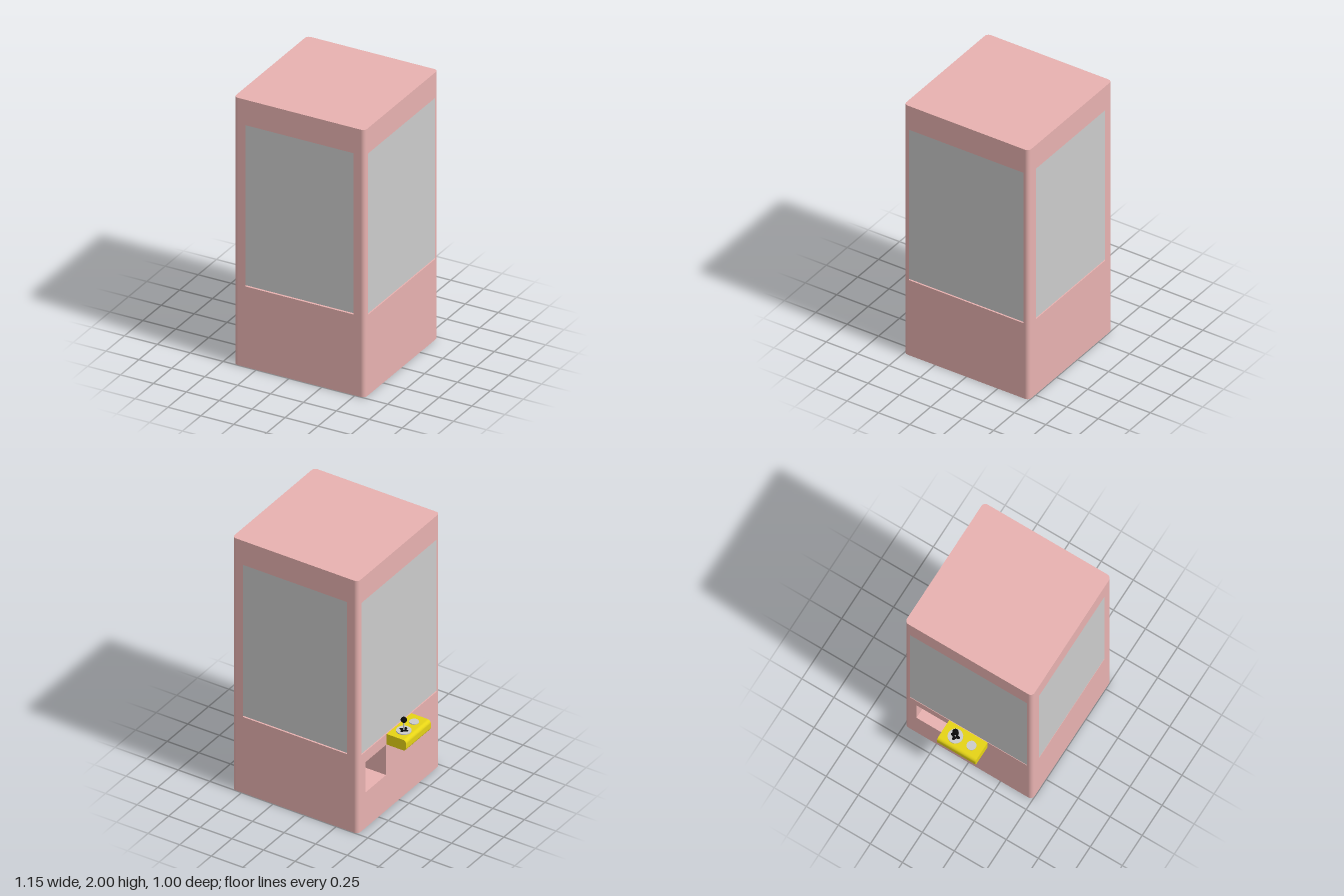
import * as THREE from 'three';

const mat = (color) => new THREE.MeshStandardMaterial({ color, side: THREE.DoubleSide });
const pink = mat(0xe8b2b0), grey = mat(0xcccccc), yellow = mat(0xe6d416), black = mat(0x0a0a0a);

const HALF = 0.4975, R = 0.03, FLAT = HALF - R;
const DECK = 0.6, TOP = 2, WIN_LOW = 0.603, GLASS_LOW = 0.613, WIN_TOP = 1.81;

function add(parent, name, geometry, material, x = 0, y = 0, z = 0) {
  const mesh = new THREE.Mesh(geometry, material);
  mesh.name = name;
  mesh.position.set(x, y, z);
  parent.add(mesh);
  return mesh;
}

function rect(x0, y0, x1, y1, Type = THREE.Shape) {
  return new Type([[x0, y0], [x1, y0], [x1, y1], [x0, y1]].map((p) => new THREE.Vector2(...p)));
}

// Plan outline of the cabinet with rounded corners
function planOutline() {
  const s = new THREE.Shape();
  s.absarc(FLAT, FLAT, R, 0, Math.PI / 2);
  s.absarc(-FLAT, FLAT, R, Math.PI / 2, Math.PI);
  s.absarc(-FLAT, -FLAT, R, Math.PI, Math.PI * 1.5);
  s.absarc(FLAT, -FLAT, R, Math.PI * 1.5, Math.PI * 2);
  return s;
}

// Flat sheet lying in plan, facing up
const sheet = (shape) => new THREE.ShapeGeometry(shape, 8).rotateX(-Math.PI / 2);

// Prize chute extents, in cabinet coordinates
const chute = { x0: -0.3975, x1: -0.1475, z0: -0.405, z1: -0.155, low: 0.28, high: 0.52 };

function buildCabinet() {
  const cabinet = new THREE.Group();
  cabinet.name = 'cabinet';

  // Four walls with window openings and glass, joined by rounded corners
  const sides = [['front', 0, 0.41], ['right', Math.PI / 2, 0.457], ['back', Math.PI, 0.41], ['left', -Math.PI / 2, 0.457]];
  for (const [side, turn, w] of sides) {
    const wall = new THREE.Group();
    wall.name = side + 'Side';
    wall.rotation.y = turn;
    const panel = rect(-FLAT, 0, FLAT, TOP);
    panel.holes.push(rect(-w, WIN_LOW, w, WIN_TOP, THREE.Path));
    if (side === 'left') panel.holes.push(rect(chute.z0, chute.low, chute.z1, chute.high, THREE.Path));
    add(wall, 'wall', new THREE.ShapeGeometry(panel), pink, 0, 0, HALF);
    add(wall, 'glass', new THREE.ShapeGeometry(rect(-w, GLASS_LOW, w, WIN_TOP)), grey, 0, 0, HALF);
    add(wall, 'corner', new THREE.CylinderGeometry(R, R, TOP, 8, 1, true, 0, Math.PI / 2), pink, FLAT, TOP / 2, FLAT);
    cabinet.add(wall);
  }

  // Roof, and the play deck pierced by the chute
  add(cabinet, 'roof', sheet(planOutline()), pink, 0, TOP, 0);
  const deck = planOutline();
  deck.holes.push(rect(chute.x0, -chute.z1, chute.x1, -chute.z0, THREE.Path));
  add(cabinet, 'deck', sheet(deck), pink, 0, DECK, 0);

  // Chute lined down to the pick-up opening
  const { x0, x1, z0, z1, low, high } = chute;
  const box = (name, ax, ay, az, bx, by, bz, m = pink) => add(cabinet, name,
    new THREE.BoxGeometry(bx - ax, by - ay, bz - az), m, (ax + bx) / 2, (ay + by) / 2, (az + bz) / 2);
  const t = 0.004, wallX = -HALF;
  box('chuteFloor', wallX, low - t, z0, x1, low, z1);
  box('chuteBack', x1, low - t, z0, x1 + t, DECK, z1);
  box('chuteLip', x0 - t, high, z0, x0, DECK, z1);
  box('chuteCeiling', wallX, high, z0, x0, high + t, z1);
  for (const [a, b] of [[z0 - t, z0], [z1, z1 + t]]) box('chuteSide', wallX, low - t, a, x1 + t, DECK, b);

  // Black rim around the chute mouth
  const rim = rect(x0, -z1, x1, -z0);
  rim.holes.push(rect(x0 + 0.012, -z1 + 0.012, x1 - 0.012, -z0 - 0.012, THREE.Path));
  add(cabinet, 'chuteRim', new THREE.ExtrudeGeometry(rim, { depth: 0.011, bevelEnabled: false }).rotateX(-Math.PI / 2),
    black, 0, DECK, 0);
  return cabinet;
}

function buildControls() {
  const controls = new THREE.Group();
  controls.name = 'controls';

  // Shelf with rounded outer edges
  const x0 = -0.575, x1 = -0.42, y0 = 0.52, y1 = 0.603, r = 0.025;
  const profile = new THREE.Shape();
  profile.moveTo(x1, y0);
  profile.lineTo(x1, y1);
  profile.absarc(x0 + r, y1 - r, r, Math.PI / 2, Math.PI);
  profile.absarc(x0 + r, y0 + r, r, Math.PI, Math.PI * 1.5);
  add(controls, 'shelf', new THREE.ExtrudeGeometry(profile, { depth: 0.3, bevelEnabled: false, curveSegments: 8 }),
    yellow, 0, 0, -0.15);

  // Joystick: plate, cross-shaped gate, stick and ball
  const jx = -0.495, jz = -0.055;
  add(controls, 'joystickPlate', new THREE.CylinderGeometry(0.052, 0.052, 0.01, 32), grey, jx, 0.605, jz);
  const gate = new THREE.Shape();
  for (let i = 0; i < 4; i++) {
    const a = i * Math.PI / 2;
    gate.absarc(0.024 * Math.cos(a), 0.024 * Math.sin(a), 0.01, a - Math.PI / 2, a + Math.PI / 2);
    const c = a + Math.PI / 4;
    gate.lineTo(0.019 * Math.cos(c), 0.019 * Math.sin(c));
  }
  add(controls, 'joystickGate', sheet(gate), black, jx, 0.6115, jz);
  add(controls, 'joystickStick', new THREE.CylinderGeometry(0.005, 0.005, 0.08, 12), grey, jx, 0.645, jz);
  add(controls, 'joystickBall', new THREE.SphereGeometry(0.021, 24, 16), black, jx, 0.69, jz);

  // Push button
  add(controls, 'button', new THREE.CylinderGeometry(0.033, 0.033, 0.01, 32), grey, jx, 0.604, 0.07);
  return controls;
}

export function createModel() {
  const model = new THREE.Group();
  model.name = 'clawMachine';
  const cabinet = buildCabinet();
  cabinet.position.x = 0.0775;
  model.add(cabinet, buildControls());
  return model;
}
